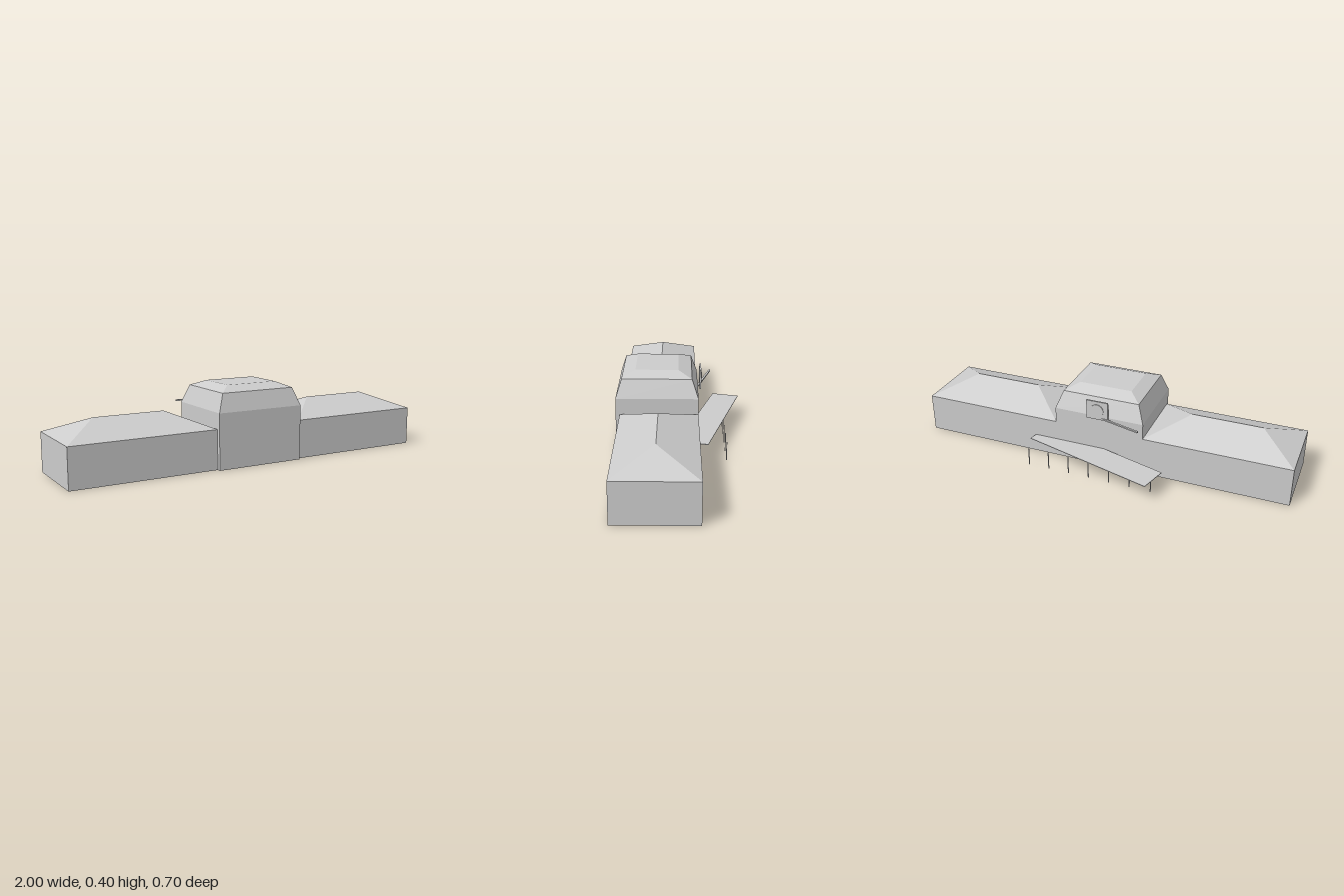
import * as THREE from 'three';

// Stacked rectangular rings [x0, x1, z0, z1, y] joined by flat faces, open at the bottom
function ringSolid(rings, capTop) {
  const corners = ([x0, x1, z0, z1, y]) => [[x0, y, z1], [x1, y, z1], [x1, y, z0], [x0, y, z0]];
  const pos = [];
  const quad = (a, b, c, d) => pos.push(...a, ...b, ...c, ...a, ...c, ...d);
  for (let i = 0; i < rings.length - 1; i++) {
    const lo = corners(rings[i]), hi = corners(rings[i + 1]);
    for (let k = 0; k < 4; k++) {
      const n = (k + 1) % 4;
      quad(lo[k], lo[n], hi[n], hi[k]);
    }
  }
  if (capTop) quad(...corners(rings[rings.length - 1]));
  const geo = new THREE.BufferGeometry();
  geo.setAttribute('position', new THREE.Float32BufferAttribute(pos, 3));
  geo.computeVertexNormals();
  return geo;
}

export function createModel() {
  const grey = new THREE.MeshStandardMaterial({ color: 0xcccccc, side: THREE.DoubleSide });
  grey.name = 'paleGrey';

  const model = new THREE.Group();
  model.name = 'stationBuilding';
  const add = (parent, name, geo, x = 0, y = 0, z = 0) => {
    const mesh = new THREE.Mesh(geo, grey);
    mesh.name = name;
    mesh.position.set(x, y, z);
    parent.add(mesh);
    return mesh;
  };

  // Everything aligned with the building sits in one turned group
  const building = new THREE.Group();
  building.name = 'building';
  building.rotation.y = 0.1304;
  building.position.z = 0.03;
  model.add(building);

  // Long wings with hipped roofs
  const outer = 0.981, inner = 0.235, half = 0.194;
  for (const side of [-1, 1]) {
    const span = (a, b) => (side < 0 ? [-b, -a] : [a, b]);
    add(building, side < 0 ? 'rightWing' : 'leftWing', ringSolid([
      [...span(inner, outer), -half, half, 0],
      [...span(inner, outer), -half, half, 0.2],
      [...span(0.429, 0.789), 0, 0, 0.281],
    ], false));
  }

  // Taller central hall with a two-slope roof
  add(building, 'centralHall', ringSolid([
    [-0.235, 0.235, -half, 0.214, 0],
    [-0.235, 0.235, -half, 0.214, 0.281],
    [-0.201, 0.201, -0.162, 0.185, 0.372],
    [-0.138, 0.138, -0.094, 0.119, 0.4],
  ], true));

  // Clock panel on the back
  add(building, 'clockPanel', new THREE.BoxGeometry(0.114, 0.1, 0.008), 0, 0.322, -0.207);
  const face = new THREE.CylinderGeometry(0.034, 0.034, 0.004, 16).rotateX(Math.PI / 2);
  add(building, 'clockFace', face, 0, 0.322, -0.212);

  // Row of canopy posts
  for (let i = -3; i <= 3; i++) {
    add(building, 'canopyPost', new THREE.BoxGeometry(0.004, 0.095, 0.004), i * 0.1095, 0.0475, -0.331);
  }

  // Thin ledge under the clock
  add(model, 'ledge', new THREE.BoxGeometry(0.298, 0.007, 0.01), -0.118, 0.279, -0.181).rotation.y = -0.135;

  // Thin platform canopy with a bent inner edge
  const outline = [[-0.385, -0.354], [0.33, -0.255], [0.325, -0.207], [-0.05, -0.158], [-0.405, -0.21]];
  const shape = new THREE.Shape(outline.map(([x, z]) => new THREE.Vector2(x, z)));
  const canopy = new THREE.ExtrudeGeometry(shape, { depth: 0.003, bevelEnabled: false }).rotateX(Math.PI / 2);
  add(model, 'canopy', canopy, 0, 0.097, 0);

  return model;
}
